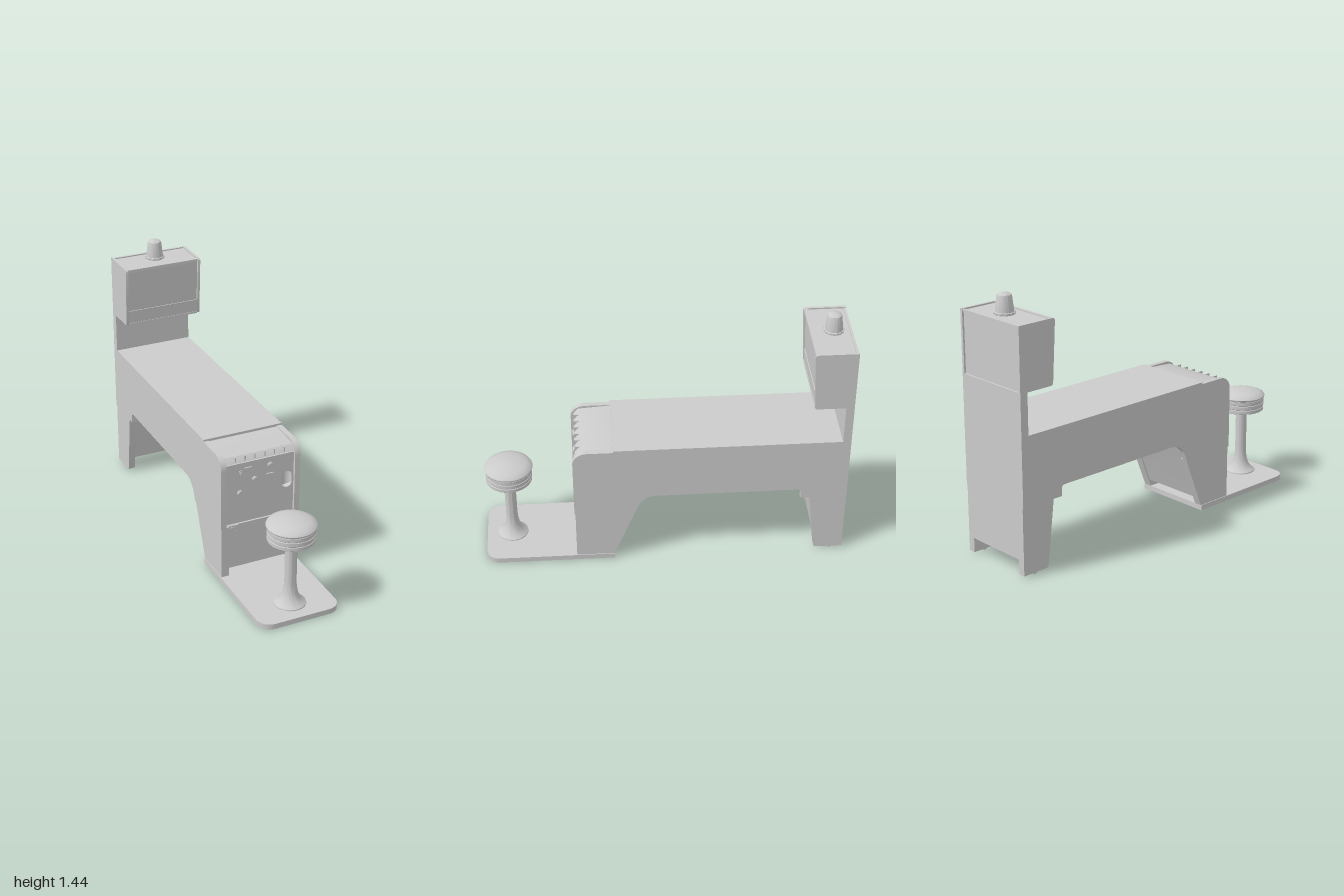
import * as THREE from 'three';
import { toCreasedNormals } from 'three/addons/utils/BufferGeometryUtils.js';

const grey = new THREE.MeshStandardMaterial({ color: 0xcccccc });
const thin = new THREE.MeshStandardMaterial({ color: 0xcccccc, side: THREE.DoubleSide });

// polygon whose corners [x, y, r] are rounded by r where given
function roundedShape(points) {
  const shape = new THREE.Shape();
  const n = points.length;
  points.forEach(([x, y, r = 0], i) => {
    const p = new THREE.Vector2(x, y);
    const toward = (q) => new THREE.Vector2(q[0], q[1]).sub(p).setLength(r).add(p);
    const a = toward(points[(i + n - 1) % n]);
    const b = toward(points[(i + 1) % n]);
    if (i === 0) shape.moveTo(a.x, a.y);
    else shape.lineTo(a.x, a.y);
    if (r) {
      const k = 0.56;
      shape.bezierCurveTo(a.x + (x - a.x) * k, a.y + (y - a.y) * k,
        b.x + (x - b.x) * k, b.y + (y - b.y) * k, b.x, b.y);
    }
  });
  shape.closePath();
  return shape;
}

const extrude = (shape, depth) => toCreasedNormals(
  new THREE.ExtrudeGeometry(shape, { depth, bevelEnabled: false, curveSegments: 10 }), 0.6);

export function createModel() {
  const model = new THREE.Group();

  const add = (name, geometry, x = 0, y = 0, z = 0, material = grey) => {
    const mesh = new THREE.Mesh(geometry, material);
    mesh.name = name;
    mesh.position.set(x, y, z);
    model.add(mesh);
    return mesh;
  };
  // box given by its limits
  const box = (name, x0, x1, y0, y1, z0, z1) => add(name,
    new THREE.BoxGeometry(x1 - x0, y1 - y0, z1 - z0), (x0 + x1) / 2, (y0 + y1) / 2, (z0 + z1) / 2);
  // side profile of [z, y] points swept across x
  const sweep = (name, points, x0, x1) =>
    add(name, extrude(roundedShape(points), x1 - x0).rotateY(-Math.PI / 2), x1);
  const sweepPair = (name, points, x0, x1) => {
    sweep(name + 'Left', points, x0, x1);
    sweep(name + 'Right', points, -x1, -x0);
  };
  const lathe = (name, points, x, y, z) => add(name, toCreasedNormals(
    new THREE.LatheGeometry(points.map(([r, h]) => new THREE.Vector2(r, h)), 48), 0.6), x, y, z);

  // floor plate with rounded front corners
  add('floorPlate', extrude(roundedShape([
    [-0.23, -1, 0.075], [0.23, -1, 0.075], [0.23, -0.285], [-0.23, -0.285],
  ]), 0.03).rotateX(-Math.PI / 2));

  // cabinet sides: upper wall and slimmer pedestal wall
  sweepPair('cabinetSide', [
    [0.5, 0.33], [0.5, 0.75, 0.075], [-0.98, 0.75], [-0.98, 0.38], [-0.745, 0.38],
    [-0.745, 0.44, 0.02], [0.121, 0.44, 0.07], [0.165, 0.33],
  ], 0.2, 0.23);
  sweepPair('pedestalSide', [
    [0.495, 0.03], [0.495, 0.33], [0.165, 0.33], [0.285, 0.03],
  ], 0.18, 0.226);

  // inner body, recessed between the sides
  sweep('cabinetBody', [
    [0.45, 0.07], [0.45, 0.70], [0.485, 0.70], [0.462, 0.733, 0.012], [0.28, 0.746], [-0.97, 0.746],
    [-0.97, 0.39], [-0.757, 0.39], [-0.757, 0.45, 0.02], [0.128, 0.45, 0.07], [0.279, 0.07],
  ], -0.2, 0.2);
  box('playfieldTop', -0.23, 0.23, 0.745, 0.76, -0.96, 0.28);

  // front control panel with a scooped pocket
  const panel = roundedShape([[-0.2, 0.34], [0.2, 0.34], [0.2, 0.695], [-0.2, 0.695]]);
  panel.holes.push(roundedShape([
    [0.13, 0.49, 0.029], [0.19, 0.49, 0.029], [0.19, 0.585, 0.029], [0.13, 0.585, 0.029],
  ]));
  add('controlPanel', extrude(panel, 0.035), 0, 0, 0.45);
  add('pocket', new THREE.CylinderGeometry(0.03, 0.03, 0.095, 16, 1, true, Math.PI / 2, Math.PI),
    0.16, 0.5375, 0.484, thin);
  box('lowerDoor', -0.196, 0.196, 0.07, 0.333, 0.45, 0.485);

  // vent fins on the hood
  for (let i = 0; i < 6; i++) {
    const x = -0.142 + i * 0.0568;
    box('ventFin', x - 0.003, x + 0.003, 0.708, 0.735, 0.455, 0.485);
  }

  // small controls
  for (const [x, y] of [[0.06, 0.65], [-0.03, 0.585], [-0.115, 0.52]]) {
    add('knob', new THREE.CylinderGeometry(0.011, 0.016, 0.01, 20).rotateX(Math.PI / 2), x, y, 0.49);
    add('knobRing', new THREE.TorusGeometry(0.013, 0.003, 8, 20), x, y, 0.488);
  }
  for (const [x, y] of [[-0.07, 0.662], [0.06, 0.598]]) {
    box('slotHandle', x - 0.02, x + 0.02, y - 0.003, y + 0.003, 0.48, 0.492);
    box('slotHandleTab', x - 0.008, x + 0.008, y - 0.007, y, 0.48, 0.49);
  }
  box('switchPlate', -0.121, -0.101, 0.624, 0.652, 0.48, 0.489);
  box('switchLever', -0.115, -0.107, 0.63, 0.646, 0.485, 0.495);

  // coin return plate with round dish
  box('coinPlate', -0.192, -0.124, 0.264, 0.331, 0.48, 0.49);
  add('coinDishRim', new THREE.TorusGeometry(0.025, 0.002, 8, 28), -0.158, 0.297, 0.49);
  add('coinDish', new THREE.CylinderGeometry(0.024, 0.024, 0.006, 24, 1, false, -Math.PI / 2, Math.PI)
    .rotateX(Math.PI / 2), -0.158, 0.293, 0.49, thin);

  // rear column and overhanging display head
  box('rearColumn', -0.23, 0.23, 0.38, 0.99, -1, -0.955);
  sweepPair('headSide', [
    [-1, 0.985], [-0.79, 0.985, 0.012], [-0.77, 1.33, 0.015], [-1, 1.33],
  ], 0.215, 0.23);
  sweep('headScreen', [[-0.99, 0.99], [-0.798, 0.99], [-0.782, 1.322], [-0.99, 1.322]], -0.216, 0.216);
  sweep('headLowerStrip', [[-0.85, 0.987], [-0.793, 0.987], [-0.789, 1.07], [-0.85, 1.07]], -0.216, 0.216);
  box('headTopLip', -0.216, 0.216, 1.312, 1.328, -0.792, -0.774);
  box('headBottomLip', -0.216, 0.216, 0.985, 0.996, -0.82, -0.79);
  box('headBackLip', -0.216, 0.216, 1.316, 1.328, -0.998, -0.985);

  // rear legs joined by a raised box
  sweepPair('rearLeg', [[-1, 0.01], [-1, 0.385], [-0.795, 0.385], [-0.84, 0.01, 0.015]], 0.185, 0.225);
  sweep('rearLegBox', [[-1, 0.09], [-1, 0.385], [-0.8, 0.385], [-0.835, 0.09]], -0.19, 0.19);
  for (const s of [-1, 1]) {
    add('rearFoot', new THREE.CylinderGeometry(0.016, 0.016, 0.012, 16), s * 0.205, 0.006, -0.925);
  }

  // beacon on top of the head
  lathe('beacon', [[0.052, 0], [0.052, 0.012], [0.048, 0.014], [0.039, 0.092], [0.036, 0.1],
    [0.025, 0.107], [0, 0.111]], 0, 1.322 + 0.006, -0.9);
  for (let i = 0; i < 12; i++) {
    const a = (i / 12) * Math.PI * 2;
    add('beaconStud', new THREE.SphereGeometry(0.006, 8, 6),
      Math.sin(a) * 0.051, 1.335, -0.9 + Math.cos(a) * 0.051);
  }

  // stool: flared pedestal, banded seat and domed cushion
  lathe('stoolPedestal', [[0.086, 0.028], [0.085, 0.036], [0.066, 0.05], [0.05, 0.073], [0.04, 0.1],
    [0.034, 0.135], [0.032, 0.17], [0.032, 0.425]], 0, 0, 0.855);
  const bands = [[0, 0.418]];
  for (let i = 0; i < 3; i++) {
    const y = 0.418 + i * 0.026;
    bands.push([0.125, y], [0.128, y + 0.003], [0.128, y + 0.021], [0.125, y + 0.023], [0.125, y + 0.026]);
  }
  bands.push([0, 0.496]);
  lathe('stoolSeatBands', bands, 0, 0, 0.855);
  lathe('stoolCushion', [[0, 0.49], [0.122, 0.49], [0.131, 0.496], [0.134, 0.505], [0.128, 0.514],
    [0.1, 0.526], [0.06, 0.536], [0.025, 0.54], [0, 0.541]], 0, 0, 0.855);

  return model;
}
